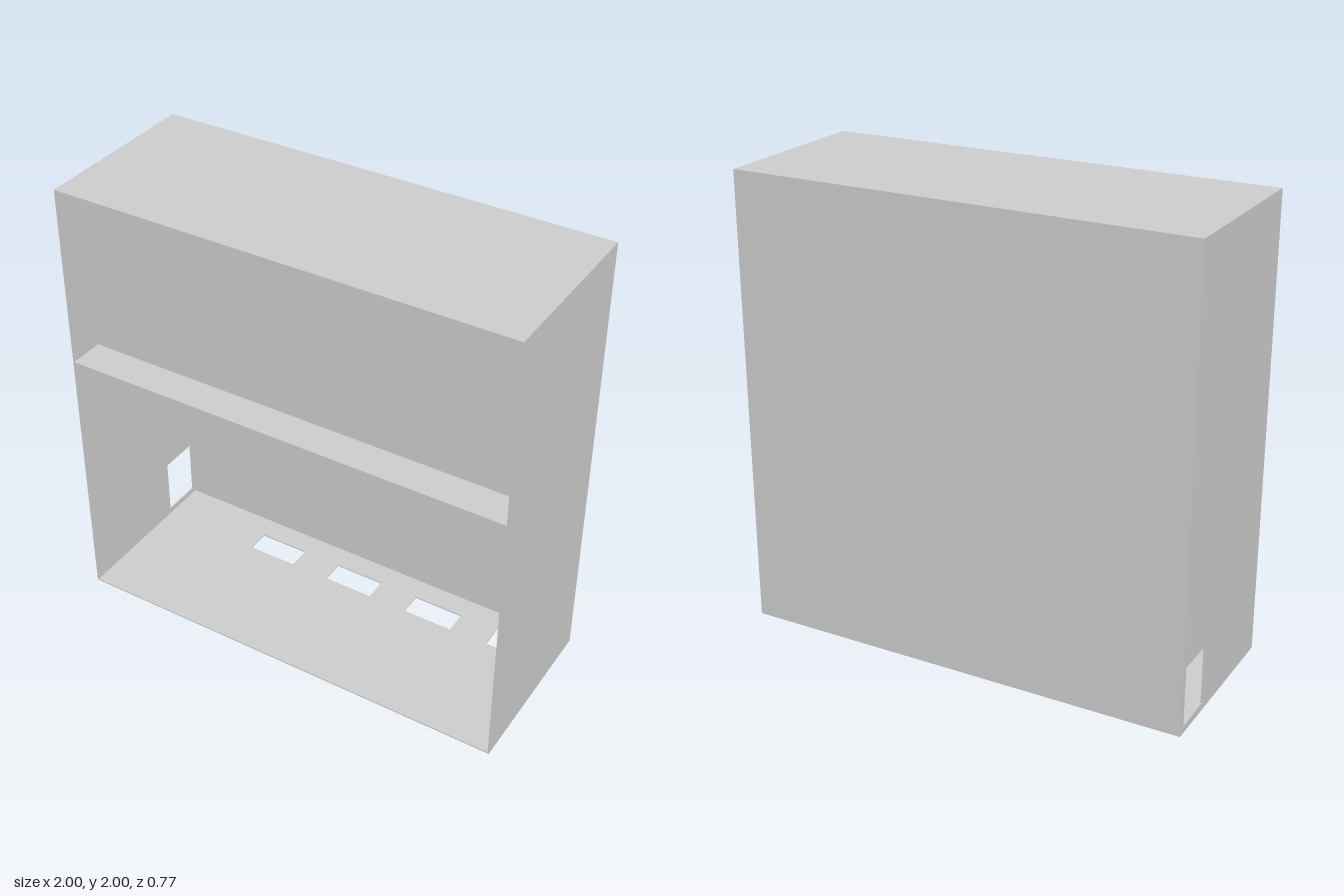
import * as THREE from 'three';

const T = 0.006, BACK_T = 0.012; // sheet thicknesses
const D = 0.385;                 // half depth
const material = new THREE.MeshStandardMaterial({ color: 0xcccccc, flatShading: true });

// Closed rectangle outline
function rect(Type, x0, y0, x1, y1) {
  return new Type().moveTo(x0, y0).lineTo(x1, y0).lineTo(x1, y1).lineTo(x0, y1).closePath();
}

// Flat sheet with rectangular cut-outs, each given as [x0, y0, x1, y1]
function sheet(bounds, holes) {
  const shape = rect(THREE.Shape, ...bounds);
  for (const h of holes) shape.holes.push(rect(THREE.Path, ...h));
  return new THREE.ExtrudeGeometry(shape, { depth: T, bevelEnabled: false });
}

export function createModel() {
  const group = new THREE.Group();
  const add = (name, geometry, x = 0, y = 0, z = 0) => {
    const mesh = new THREE.Mesh(geometry, material);
    mesh.name = name;
    mesh.position.set(x, y, z);
    group.add(mesh);
    return mesh;
  };
  const box = (name, w, h, d, x, y, z) => add(name, new THREE.BoxGeometry(w, h, d), x, y, z);

  // Floor with one large corner opening and a row of three slots
  const slots = [-0.41, 0, 0.41].map(x => [x - 0.115, 0.165, x + 0.115, 0.27]);
  const floor = sheet([-1, -D, 1, D], [[0.7, 0.17, 0.96, 0.355], ...slots]);
  add('floor', floor.rotateX(-Math.PI / 2));

  // Right wall with a low opening near the back
  const wall = sheet([-D, T, D, 2 - T], [[-0.355, 0.033, -0.17, 0.293]]);
  add('rightWall', wall.rotateY(-Math.PI / 2), -1 + T);

  // Plain panels
  const inner = 2 - 2 * T;
  box('leftWall', T, inner, 2 * D, 1 - T / 2, 1, 0);
  box('roof', 2, T, 2 * D, 0, 2 - T / 2, 0);
  box('backPanel', inner, inner, BACK_T, 0, 1, -D + BACK_T / 2);
  box('frontPanel', inner, 0.66 - T, T, 0, (1.34 + 2 - T) / 2, D - T / 2);

  // Full-depth shelf below the gap under the front panel
  box('shelf', inner, T, 2 * D - BACK_T, 0, 1.2, BACK_T / 2);

  return group;
}
